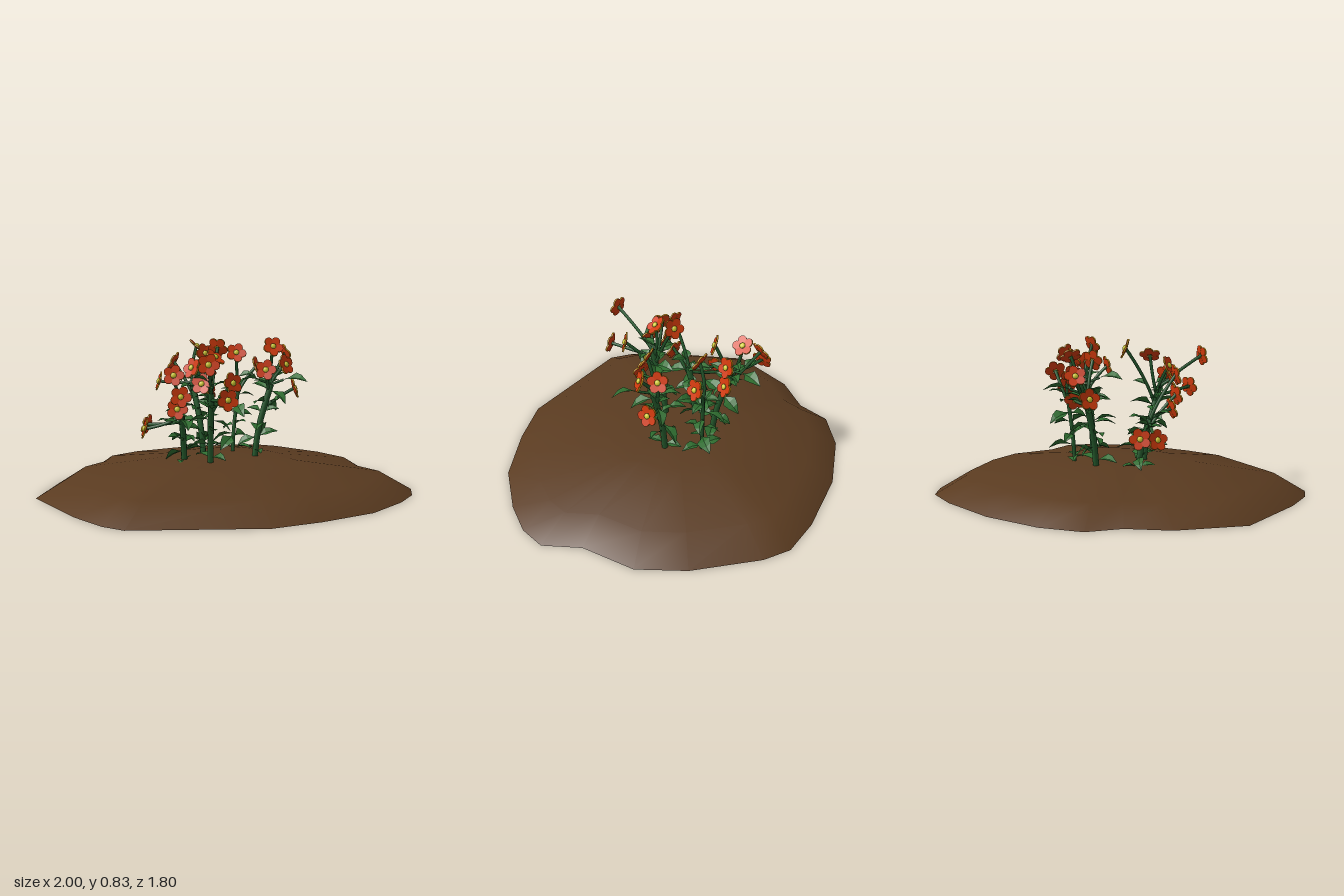
import * as THREE from 'three';

const mat = (name, color, side = THREE.FrontSide) => {
  const m = new THREE.MeshStandardMaterial({ color, side });
  m.name = name;
  return m;
};
const soil = mat('brown soil', 0x5a3b20, THREE.DoubleSide);
const stemGreen = mat('stem green', 0x24592c);
const leafGreen = mat('leaf green', 0x2f6e30, THREE.DoubleSide);
const petalRed = mat('petal orange red', 0xd03a0c);
const petalRim = mat('petal rim ochre', 0xc08a10);
const heart = mat('flower heart yellow', 0xd2cc34);

// Outline of the mound as x, z pairs
const outline = [
  [-1, -0.02], [-0.84, -0.36], [-0.67, -0.52], [-0.6, -0.7], [-0.4, -0.82], [-0.07, -0.9],
  [0.3, -0.9], [0.52, -0.86], [0.64, -0.76], [0.86, -0.45], [0.96, -0.2], [0.93, 0.1],
  [1, 0.3], [0.94, 0.44], [0.81, 0.58], [0.58, 0.75], [0.27, 0.85], [0, 0.9],
  [-0.67, 0.75], [-0.76, 0.65], [-0.86, 0.44],
];

// Indexed geometry from a position list and triangles
function surface(pos, idx) {
  const g = new THREE.BufferGeometry();
  g.setAttribute('position', new THREE.Float32BufferAttribute(pos, 3));
  g.setIndex(idx);
  g.computeVertexNormals();
  return g;
}

// Open shell of soil: scaled copies of the outline closing at the top
function makeMound() {
  const rings = [[1, 0.005], [0.83, 0.105], [0.4, 0.163], [0.18, 0.172]];
  const n = outline.length, apex = rings.length * n, pos = [], idx = [];
  for (const [s, y] of rings) for (const [x, z] of outline) pos.push(x * s, y, z * s);
  pos.push(0, 0.174, 0);
  for (let r = 0; r < rings.length; r++) {
    for (let i = 0; i < n; i++) {
      const a = r * n + i, b = r * n + (i + 1) % n;
      if (r === rings.length - 1) idx.push(a, apex, b);
      else idx.push(a, a + n, b, b, a + n, b + n);
    }
  }
  const mound = new THREE.Mesh(surface(pos, idx), soil);
  mound.name = 'soilMound';
  return mound;
}

// Pointed leaf of unit length along +z, folded at the midrib and drooping
function makeLeafGeometry() {
  const stations = [[0, 0.03, 0], [0.2, 0.06, 0.05], [0.45, 0.28, 0.08], [0.7, 0.2, 0.05], [1, 0.005, -0.08]];
  const pos = [], idx = [];
  for (const [z, w, y] of stations) pos.push(-w, y + w * 0.35, z, 0, y, z, w, y + w * 0.35, z);
  for (let i = 0; i < stations.length - 1; i++) {
    for (const k of [0, 1]) {
      const a = i * 3 + k;
      idx.push(a, a + 3, a + 1, a + 1, a + 3, a + 4);
    }
  }
  const flat = surface(pos, idx).toNonIndexed();
  flat.computeVertexNormals();
  return flat;
}
const leafGeo = makeLeafGeometry();
const petalGeo = new THREE.CylinderGeometry(0.024, 0.024, 0.009, 10);
const heartGeo = new THREE.SphereGeometry(0.016, 10, 6);
const up = new THREE.Vector3(0, 1, 0);

// Five round petals about a domed heart, facing along the normal
function makeFlower(at, normal) {
  const flower = new THREE.Group();
  flower.name = 'flower';
  for (let i = 0; i < 5; i++) {
    const a = (i / 5) * Math.PI * 2;
    const petal = new THREE.Mesh(petalGeo, [petalRim, petalRed, petalRed]);
    petal.name = 'petal';
    petal.position.set(Math.sin(a) * 0.034, 0, Math.cos(a) * 0.034);
    petal.rotation.set(-0.15 * Math.cos(a), 0, 0.15 * Math.sin(a));
    flower.add(petal);
  }
  const core = new THREE.Mesh(heartGeo, heart);
  core.name = 'flowerHeart';
  core.scale.y = 0.6;
  core.position.y = 0.007;
  flower.add(core);
  flower.position.copy(at);
  flower.quaternion.setFromUnitVectors(up, normal);
  return flower;
}

function makeLeaf(at, yaw, pitch, size, roll = 0) {
  const leaf = new THREE.Mesh(leafGeo, leafGreen);
  leaf.name = 'leaf';
  leaf.position.copy(at);
  leaf.rotation.set(-pitch, yaw, roll, 'YXZ');
  leaf.scale.setScalar(size);
  return leaf;
}

function makeTube(curve, radius, name) {
  const tube = new THREE.Mesh(new THREE.TubeGeometry(curve, 10, radius, 7), stemGreen);
  tube.name = name;
  return tube;
}

// Stem from root (x, z) to fork, carrying flowers; tipYaws turn the long stalked leaves
function makePlant(index, radius, root, forkAt, tipYaws, flowers) {
  const plant = new THREE.Group();
  plant.name = 'floweringPlant';
  const base = new THREE.Vector3(root[0], 0.08, root[1]);
  const fork = new THREE.Vector3(...forkAt);
  const bend = base.clone().lerp(fork, 0.3).setY((base.y + fork.y) / 2);
  const curve = new THREE.CatmullRomCurve3([base, bend, fork]);
  plant.add(makeTube(curve, radius, 'mainStem'));

  // Slender branches reach the back of each flower, which faces up and outward
  flowers.forEach((at, i) => {
    const end = new THREE.Vector3(...at);
    const normal = new THREE.Vector3(end.x - fork.x, 0.05, end.z - fork.z + 0.07).normalize();
    const start = curve.getPoint(1 - 0.09 * (i % 4));
    const control = start.clone().lerp(end, 0.5).addScaledVector(normal, -0.04);
    const branch = new THREE.QuadraticBezierCurve3(start, control, end);
    plant.add(makeTube(branch, 0.009, 'branch'));
    plant.add(makeFlower(end, normal));
    plant.add(makeLeaf(branch.getPoint(0.35), i * 2.1 + index, 0.3, 0.1, 0.5 - 0.4 * (i % 3)));
  });

  // Opposite leaf pairs turn and tilt as they climb the stem
  [0.24, 0.4, 0.54, 0.68, 0.8, 0.93].forEach((t, i) => {
    for (const half of [0, 1]) {
      const yaw = half * Math.PI + i * 1.35 + index * 0.9;
      const pitch = i === 0 ? 0.1 : 0.45 * Math.sin(i * 2.3 + half * 1.7 + index);
      const roll = 0.5 * Math.sin(i * 1.9 + half * 2.6);
      plant.add(makeLeaf(curve.getPoint(t), yaw, pitch, 0.1 + 0.02 * ((i + index) % 3), roll));
    }
  });

  // Long leaves held out on short stalks
  for (const yaw of tipYaws) {
    const out = new THREE.Vector3(Math.sin(yaw) * 0.08, 0.03, Math.cos(yaw) * 0.08).add(fork);
    plant.add(makeTube(new THREE.LineCurve3(fork, out), 0.007, 'leafStalk'));
    plant.add(makeLeaf(out, yaw, 0.05, 0.14, 0.35));
  }
  return plant;
}

export function createModel() {
  const model = new THREE.Group();
  model.name = 'flowerBed';
  model.add(makeMound());
  // Right plant
  model.add(makePlant(0, 0.017, [0.2, -0.03], [0.29, 0.57, 0], [0.75, -1.2], [
    [0.29, 0.78, 0.03], [0.23, 0.66, 0.09], [0.4, 0.73, -0.08], [0.44, 0.54, -0.04], [0.36, 0.68, 0.04]]));
  // Small plant behind it
  model.add(makePlant(1, 0.011, [0.13, -0.21], [0.17, 0.52, -0.23], [], [
    [0.15, 0.73, -0.2], [0.28, 0.65, -0.23]]));
  // Back plant
  model.add(makePlant(2, 0.017, [-0.04, -0.19], [-0.08, 0.56, -0.3], [2.6], [
    [-0.04, 0.76, -0.36], [0.03, 0.65, -0.3], [-0.03, 0.73, -0.21],
    [-0.16, 0.67, -0.42], [-0.25, 0.56, -0.4], [0.02, 0.52, -0.29]]));
  // Low plant at the side
  model.add(makePlant(3, 0.017, [-0.19, -0.04], [-0.22, 0.42, 0.02], [], [
    [-0.4, 0.34, -0.08], [-0.37, 0.35, -0.17], [-0.29, 0.65, 0.14], [-0.26, 0.54, 0.17], [-0.27, 0.47, 0.13]]));
  // Front plant
  model.add(makePlant(4, 0.017, [-0.08, 0.09], [-0.1, 0.56, 0.19], [], [
    [-0.18, 0.73, 0.43], [-0.07, 0.74, 0.15], [-0.02, 0.78, 0.02], [-0.02, 0.62, 0.31],
    [-0.16, 0.61, 0.22], [-0.08, 0.55, 0.43], [-0.2, 0.69, 0.17]]));
  return model;
}
